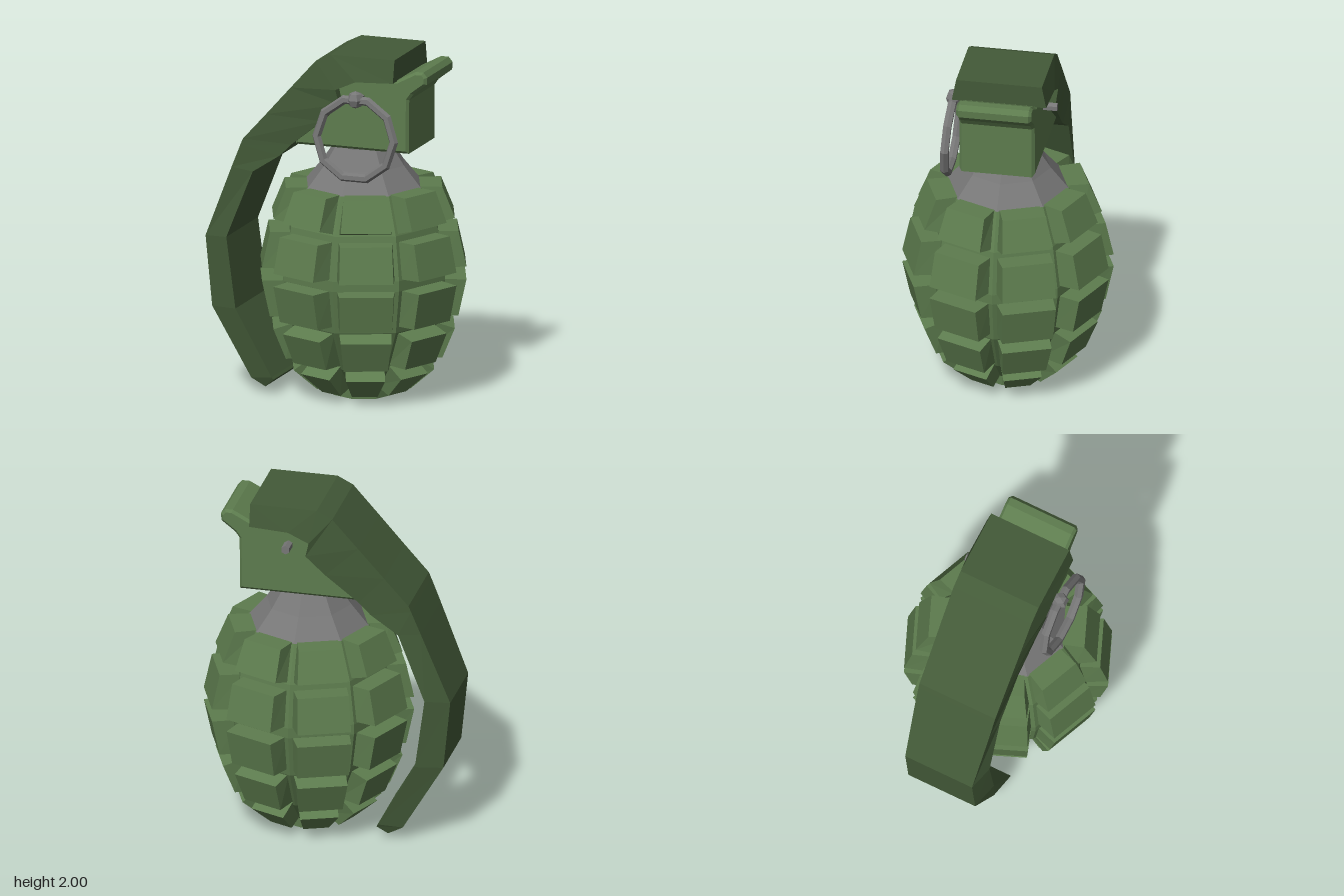
import * as THREE from 'three';

const paint = (color) => new THREE.MeshStandardMaterial({ color, flatShading: true });
const green = paint(0x5d7c4e), darkGreen = paint(0x435a38), steel = paint(0x777777);
const AXIS_X = 0.145;

function add(parent, name, geometry, material) {
  const mesh = new THREE.Mesh(geometry, material);
  mesh.name = name;
  parent.add(mesh);
  return mesh;
}

// Skin a list of four-cornered rings, capped at both ends, with outward faces.
function loft(rings) {
  const tris = [];
  const quad = (a, b, c, d) => tris.push([a, b, c], [a, c, d]);
  for (let i = 0; i < rings.length - 1; i++) {
    for (let j = 0; j < 4; j++) {
      const k = (j + 1) % 4;
      quad(rings[i][j], rings[i][k], rings[i + 1][k], rings[i + 1][j]);
    }
  }
  const last = rings[rings.length - 1];
  quad(...[...rings[0]].reverse());
  quad(...last);
  const v = (p) => new THREE.Vector3(...p);
  let volume = 0;
  for (const [a, b, c] of tris) volume += v(a).dot(v(b).cross(v(c)));
  if (volume < 0) tris.forEach((t) => t.reverse());
  const geometry = new THREE.BufferGeometry();
  geometry.setAttribute('position', new THREE.Float32BufferAttribute(tris.flat(2), 3));
  geometry.computeVertexNormals();
  return geometry;
}

// Octagonal turned part with its corners on the grooves.
function turned(points) {
  return new THREE.LatheGeometry(points.map(([r, y]) => new THREE.Vector2(r, y)), 8);
}

export function createModel() {
  const model = new THREE.Group();

  // Body: octagonal core carrying five rows of eight raised blocks
  const body = new THREE.Group();
  body.name = 'body';
  body.position.x = AXIS_X;
  model.add(body);
  add(body, 'core', turned([
    [0, 0], [0.18, 0], [0.185, 0.06], [0.32, 0.2], [0.445, 0.44], [0.49, 0.69],
    [0.49, 0.75], [0.445, 1.0], [0.35, 1.21], [0, 1.21],
  ]), green);
  add(body, 'neck', turned([[0.35, 1.205], [0.245, 1.33], [0.17, 1.44], [0.165, 1.5]]), steel);

  // Each row: top then bottom edge, as [outer y, outer distance, outer half width, base y, base distance]
  const rows = [
    [[1.215, 0.44, 0.125, 1.215, 0.30], [1.04, 0.51, 0.142, 1.005, 0.39]],
    [[0.965, 0.53, 0.146, 0.965, 0.40], [0.76, 0.575, 0.153, 0.755, 0.43]],
    [[0.685, 0.575, 0.153, 0.69, 0.43], [0.475, 0.53, 0.146, 0.475, 0.40]],
    [[0.40, 0.51, 0.142, 0.44, 0.39], [0.225, 0.44, 0.125, 0.225, 0.29]],
    [[0.155, 0.395, 0.11, 0.23, 0.29], [0.035, 0.262, 0.072, 0.075, 0.15]],
  ];
  for (const [t, b] of rows) {
    const baseWidth = (e) => Math.min(e[4] * 0.38, e[2] + 0.02);
    const geometry = loft([
      [[-baseWidth(t), t[3], t[4]], [baseWidth(t), t[3], t[4]], [baseWidth(b), b[3], b[4]], [-baseWidth(b), b[3], b[4]]],
      [[-t[2], t[0], t[1]], [t[2], t[0], t[1]], [b[2], b[0], b[1]], [-b[2], b[0], b[1]]],
    ]);
    for (let i = 0; i < 8; i++) {
      add(body, 'raisedBlock', geometry, green).rotation.y = (i + 0.5) * Math.PI / 4;
    }
  }

  // Head block with a lip, edges slightly bevelled
  const bevel = 0.015;
  const headShape = new THREE.Shape([
    [-0.17, 1.47], [0.48, 1.47], [0.482, 1.77], [0.51, 1.81], [0.588, 1.87],
    [0.59, 1.9], [0.575, 1.918], [0.54, 1.918], [0.43, 1.86], [0.06, 1.86], [-0.17, 1.6],
  ].map(([x, y]) => new THREE.Vector2(x, y)));
  const head = new THREE.ExtrudeGeometry(headShape, {
    depth: 0.4, bevelEnabled: true, bevelSegments: 1, bevelSize: bevel, bevelThickness: bevel,
  });
  add(model, 'headBlock', head.translate(0, 0, -0.2), green);

  // Curved lever: outer point, inner point, outer and inner half widths
  const stations = [
    [0.425, 2.0, 0.425, 1.87, 0.245, 0.27],
    [0.04, 2.0, 0.2, 1.86, 0.245, 0.275],
    [-0.05, 1.955, 0.08, 1.805, 0.245, 0.275],
    [-0.2, 1.788, 0.1, 1.72, 0.243, 0.265],
    [-0.35, 1.62, -0.01, 1.61, 0.24, 0.25],
    [-0.49, 1.465, -0.2, 1.455, 0.238, 0.235],
    [-0.505, 1.43, -0.27, 1.385, 0.237, 0.235],
    [-0.56, 1.295, -0.43, 1.28, 0.232, 0.24],
    [-0.725, 0.88, -0.585, 0.89, 0.21, 0.25],
    [-0.685, 0.475, -0.53, 0.48, 0.21, 0.25],
    [-0.45, 0.08, -0.315, 0.1, 0.21, 0.245],
    [-0.365, 0.035, -0.305, 0.085, 0.21, 0.24],
  ];
  add(model, 'lever', loft(stations.map(([ox, oy, ix, iy, ow, iw]) => [
    [ox, oy, ow], [ox, oy, -ow], [ix, iy, -iw], [ix, iy, iw],
  ])), darkGreen);

  // Safety pin, its knob and the pull ring
  const pin = add(model, 'pin', new THREE.CylinderGeometry(0.026, 0.026, 0.59, 6).rotateX(Math.PI / 2), steel);
  pin.position.set(0.21, 1.76, 0);
  const knob = add(model, 'pinKnob', new THREE.SphereGeometry(0.05, 6, 4), steel);
  knob.position.set(0.21, 1.765, 0.295);
  const ring = add(model, 'pullRing', new THREE.TorusGeometry(0.232, 0.026, 6, 10), steel);
  ring.position.set(0.213, 1.54, 0.308);
  ring.rotation.x = -0.06;

  return model;
}
